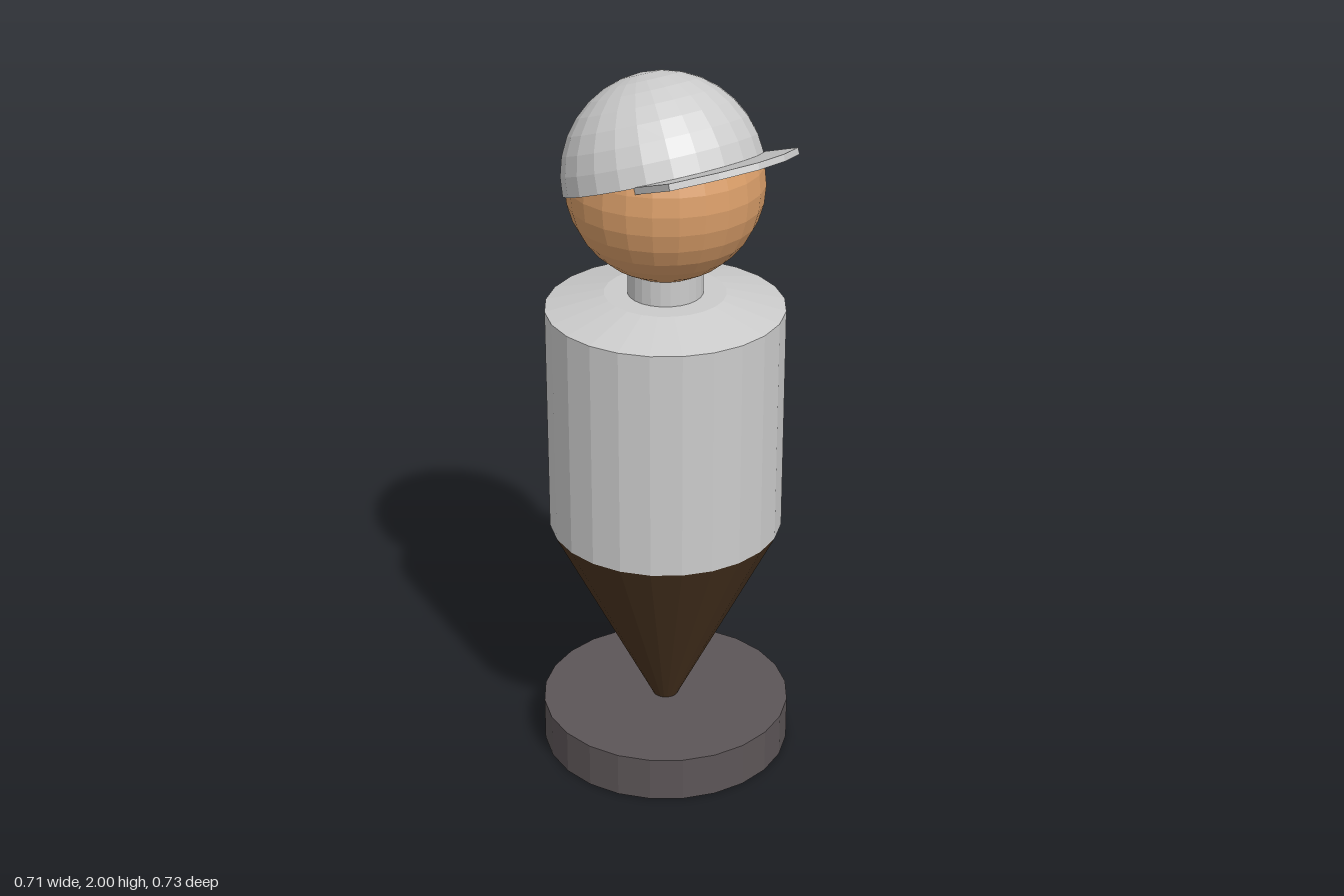
import * as THREE from 'three';

const material = (color) =>
  new THREE.MeshStandardMaterial({ color, flatShading: true, side: THREE.DoubleSide });

export function createModel() {
  const model = new THREE.Group();
  const grey = material(0xcccccc);
  const brown = material(0x4a3420);
  const dark = material(0x5c5557);
  const skin = material(0xdb9f6a);

  // All round parts share one slightly set-back axis
  const figure = new THREE.Group();
  figure.name = 'figure';
  figure.position.z = -0.012;
  model.add(figure);

  const add = (parent, name, geometry, mat, y = 0) => {
    const mesh = new THREE.Mesh(geometry, mat);
    mesh.name = name;
    mesh.position.y = y;
    parent.add(mesh);
    return mesh;
  };
  const round = (name, top, bottom, y0, y1, mat) =>
    add(figure, name, new THREE.CylinderGeometry(top, bottom, y1 - y0, 24), mat, (y0 + y1) / 2);

  // Stand, tapered legs, torso with sloping shoulders, neck and head
  round('base', 0.354, 0.354, 0, 0.13, dark);
  round('legs', 0.325, 0.036, 0.13, 0.71, brown);
  round('torso', 0.325, 0.325, 0.71, 1.36, grey);
  round('shoulders', 0.165, 0.325, 1.36, 1.4, grey);
  round('neck', 0.102, 0.102, 1.4, 1.48, grey);
  add(figure, 'head', new THREE.SphereGeometry(0.265, 24, 16), skin, 1.715);

  // Cap, tilted back; its rim lies in the group's local y = 0 plane
  const cap = new THREE.Group();
  cap.name = 'cap';
  cap.position.set(0, 1.731, -0.008);
  cap.rotation.x = -THREE.MathUtils.degToRad(20.5);
  figure.add(cap);
  add(cap, 'crown', new THREE.SphereGeometry(0.27, 24, 8, 0, Math.PI * 2, 0, Math.PI / 2), grey);

  // Flat pointed brim, drawn in plan and laid into the rim plane
  const outline = [
    [-0.21, 0.16], [0.21, 0.16], [0.21, 0.31], [0.105, 0.38],
    [0, 0.407], [-0.105, 0.38], [-0.21, 0.31],
  ].map(([x, z]) => new THREE.Vector2(x, z));
  const brim = new THREE.ExtrudeGeometry(new THREE.Shape(outline), { depth: 0.018, bevelEnabled: false });
  brim.rotateX(Math.PI / 2);
  add(cap, 'brim', brim, grey, 0.002);

  return model;
}
